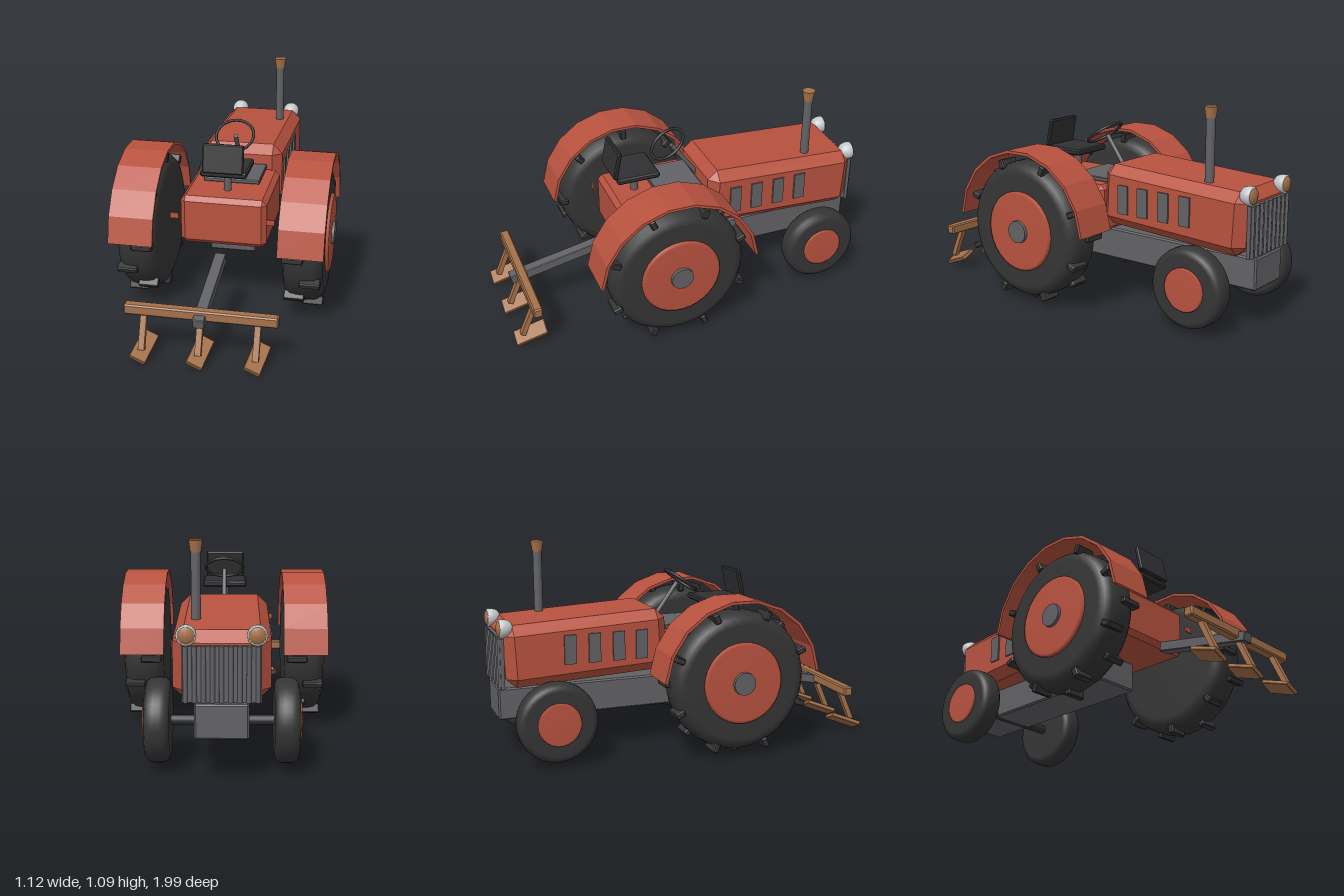
import * as THREE from 'three';
import { ConvexGeometry } from 'three/addons/geometries/ConvexGeometry.js';

const mat = (name, color) => {
  const m = new THREE.MeshStandardMaterial({ color });
  m.name = name;
  return m;
};

// Box with every edge cut off by c
function chamferBox(w, h, d, c) {
  const pts = [];
  for (const x of [-1, 1]) for (const y of [-1, 1]) for (const z of [-1, 1]) {
    for (let k = 0; k < 3; k++) {
      pts.push(new THREE.Vector3(
        x * (w / 2 - (k === 0 ? 0 : c)),
        y * (h / 2 - (k === 1 ? 0 : c)),
        z * (d / 2 - (k === 2 ? 0 : c))));
    }
  }
  return new ConvexGeometry(pts);
}

const lathe = (points, n = 32) =>
  new THREE.LatheGeometry(points.map(([r, y]) => new THREE.Vector2(r, y)), n);

export function createModel() {
  const red = mat('red paint', 0xb8523f);
  const rubber = mat('tyre rubber', 0x353535);
  const black = mat('black trim', 0x303032);
  const gray = mat('gray steel', 0x626266);
  const brown = mat('rusty brown', 0xa57149);
  const silver = mat('silver', 0xc6cacd);

  const model = new THREE.Group();
  model.name = 'tractor';
  const add = (name, geometry, material, x = 0, y = 0, z = 0, parent = model) => {
    const m = new THREE.Mesh(geometry, material);
    m.name = name;
    m.position.set(x, y, z);
    parent.add(m);
    return m;
  };
  // Cylinder between two points in the x = 0 plane or any other
  const rod = (name, a, b, r, material) => {
    const p = new THREE.Vector3(...a), q = new THREE.Vector3(...b);
    const dir = q.clone().sub(p);
    const mid = p.clone().add(q).multiplyScalar(0.5);
    const m = add(name, new THREE.CylinderGeometry(r, r, dir.length(), 16), material, mid.x, mid.y, mid.z);
    m.quaternion.setFromUnitVectors(new THREE.Vector3(0, 1, 0), dir.normalize());
    return m;
  };

  // Body: sloping hood, rear housing, chassis beam
  add('hood', chamferBox(0.45, 0.32, 0.85, 0.05), red, 0, 0.572, -0.54).rotation.x = -0.05;
  add('rearHousing', chamferBox(0.45, 0.26, 0.49, 0.025), red, 0, 0.5, 0.125);
  add('chassis', chamferBox(0.25, 0.165, 1.09, 0.008), gray, 0, 0.3, -0.445);
  add('floorPlate', chamferBox(0.3, 0.022, 0.25, 0.004), gray, 0, 0.644, 0.015);

  // Grille with upright bars
  add('grillePlate', new THREE.BoxGeometry(0.36, 0.26, 0.02), gray, 0, 0.52, -0.975);
  for (let i = 0; i < 9; i++) {
    add('grilleBar', new THREE.CylinderGeometry(0.011, 0.011, 0.26, 8), gray, (i - 4) * 0.041, 0.52, -0.985);
  }

  // Exhaust pipe
  add('exhaustPipe', new THREE.CylinderGeometry(0.023, 0.023, 0.36, 20), gray, 0.125, 0.87, -0.715);
  add('exhaustCap', new THREE.CylinderGeometry(0.034, 0.026, 0.056, 16), brown, 0.125, 1.067, -0.715);

  // Driver's seat
  rod('seatPost', [0, 0.62, 0.23], [0, 0.75, 0.23], 0.02, gray);
  add('seatCushion', chamferBox(0.24, 0.032, 0.23, 0.008), black, 0, 0.757, 0.24);
  add('seatBack', chamferBox(0.21, 0.15, 0.024, 0.006), black, 0, 0.842, 0.349).rotation.x = -0.2;

  // Steering wheel and column
  rod('steeringColumn', [0, 0.64, -0.137], [0, 0.853, 0.018], 0.012, gray);
  add('steeringWheel', new THREE.TorusGeometry(0.1, 0.008, 8, 32), black, 0, 0.863, 0.04)
    .rotation.x = -0.945;

  // Wheel with its axis along local y, outer side at +y
  function wheel(name, s, x, y, z, r, w, hubR, hubOut) {
    const g = new THREE.Group();
    g.name = name;
    g.position.set(s * x, y, z);
    g.rotation.z = -s * Math.PI / 2;
    model.add(g);
    const h = w / 2, c = w * 0.3;
    add('tyre', lathe([[0, -h], [r - c, -h], [r - c * 0.45, -h * 0.88], [r - c * 0.1, -h * 0.62], [r, -h * 0.25],
      [r, h * 0.25], [r - c * 0.1, h * 0.62], [r - c * 0.45, h * 0.88], [r - c, h], [0, h]], 40), rubber, 0, 0, 0, g);
    add('rim', lathe([[hubR, h - 0.02], [hubR, h + hubOut * 0.6], [hubR * 0.93, h + hubOut], [0, h + hubOut]]), red, 0, 0, 0, g);
    return g;
  }

  // Arched fender section in the z-y plane
  const fender = new THREE.Shape();
  const arc = [];
  for (let i = 0; i <= 9; i++) arc.push(THREE.MathUtils.degToRad(4.5 + 19 * i));
  const onArc = (a, r) => new THREE.Vector2(Math.cos(a) * r, Math.sin(a) * r);
  fender.setFromPoints([...arc.map(a => onArc(a, 0.425)), ...arc.reverse().map(a => onArc(a, 0.41))]);
  const fenderGeometry = new THREE.ExtrudeGeometry(fender, { depth: 0.23, bevelEnabled: false });

  const lug = chamferBox(0.032, 0.108, 0.05, 0.005);
  const lamp = lathe([[0, -0.035], [0.024, -0.031], [0.04, -0.016], [0.047, 0.008], [0.047, 0.03], [0.04, 0.034], [0, 0.034]], 24);
  const lens = lathe([[0.04, 0.03], [0.038, 0.038], [0.022, 0.045], [0, 0.047]], 24);

  for (const s of [1, -1]) {
    // Rear wheel with staggered lugs and hub cap
    const rear = wheel('rearWheel', s, 0.427, 0.406, 0.172, 0.36, 0.208, 0.21, 0.016);
    add('hubCap', new THREE.CylinderGeometry(0.058, 0.064, 0.05, 24), gray, 0, 0.11, 0, rear);
    for (let i = 0; i < 16; i++) {
      const a = i * Math.PI / 8;
      add('lug', lug, rubber, Math.sin(a) * 0.36, i % 2 ? 0.045 : -0.042, Math.cos(a) * 0.36, rear).rotation.y = a;
    }
    const f = add('fender', fenderGeometry, red, s * 0.43 + 0.115, 0.406, 0.172);
    f.rotation.y = -Math.PI / 2;
    add('bracket', new THREE.BoxGeometry(0.045, 0.03, 0.008), red, s * 0.25, 0.53, 0.385);

    // Front wheel
    wheel('frontWheel', s, 0.305, 0.237, -0.737, 0.204, 0.12, 0.11, 0.011);

    // Headlamp
    add('headlamp', lamp, silver, s * 0.16, 0.697, -0.95).rotation.x = -Math.PI / 2;
    add('headlampLens', lens, brown, s * 0.16, 0.697, -0.95).rotation.x = -Math.PI / 2;

    // Hood vents
    for (const z of [-0.262, -0.385, -0.513, -0.64]) {
      add('vent', new THREE.BoxGeometry(0.009, 0.15, 0.062), gray, s * 0.2295, 0.58, z);
    }
  }
  rod('frontAxle', [-0.28, 0.237, -0.737], [0.28, 0.237, -0.737], 0.025, black);

  // Towed cultivator: drawbar, beam, three shanks with tilted shares
  add('drawbar', chamferBox(0.058, 0.05, 0.53, 0.003), gray, 0, 0.28, 0.68).rotation.x = 0.2;
  add('toolBeam', chamferBox(0.752, 0.052, 0.05, 0.007), brown, 0, 0.252, 0.882);
  for (const x of [-0.278, 0, 0.278]) {
    add('shank', new THREE.BoxGeometry(0.03, 0.18, 0.026), brown, x, 0.15, 0.918).rotation.x = -0.41;
    add('share', chamferBox(0.085, 0.022, 0.175, 0.003), brown, x, 0.062, 0.911).rotation.set(0.4, 0, -0.43, 'ZXY');
  }
  return model;
}
